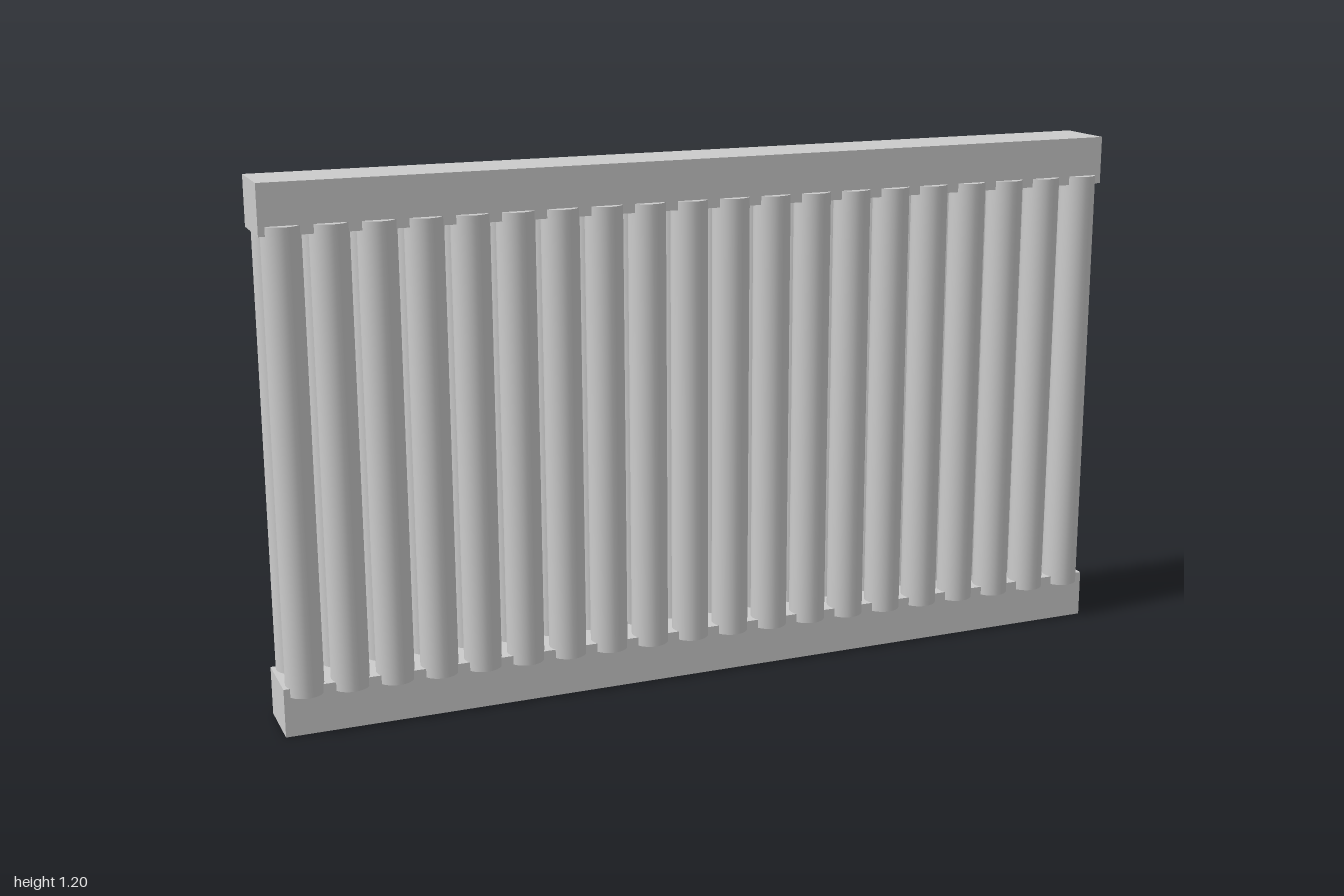
import * as THREE from 'three';

export function createModel() {
  const model = new THREE.Group();
  model.name = 'columnRadiator';
  const material = new THREE.MeshStandardMaterial({ color: 0xcccccc });

  // Horizontal headers along the bottom and top
  const headerHeight = 0.11, height = 1.2;
  const headerGeometry = new THREE.BoxGeometry(2, headerHeight, 0.143);
  const addHeader = (name, y) => {
    const header = new THREE.Mesh(headerGeometry, material);
    header.name = name;
    header.position.y = y;
    model.add(header);
  };
  addHeader('bottomHeader', headerHeight / 2);
  addHeader('topHeader', height - headerHeight / 2);

  // Two rows of upright tubes, overlapping the headers slightly
  const count = 20, spacing = 0.1;
  const tubeGeometry = new THREE.CylinderGeometry(0.042, 0.042, 1.02, 24);
  for (const [name, z] of [['front', 0.05], ['back', -0.05]]) {
    const row = new THREE.Group();
    row.name = name + 'TubeRow';
    for (let i = 0; i < count; i++) {
      const tube = new THREE.Mesh(tubeGeometry, material);
      tube.name = name + 'Tube' + (i + 1);
      tube.position.set((i - (count - 1) / 2) * spacing, height / 2, z);
      row.add(tube);
    }
    model.add(row);
  }
  return model;
}
